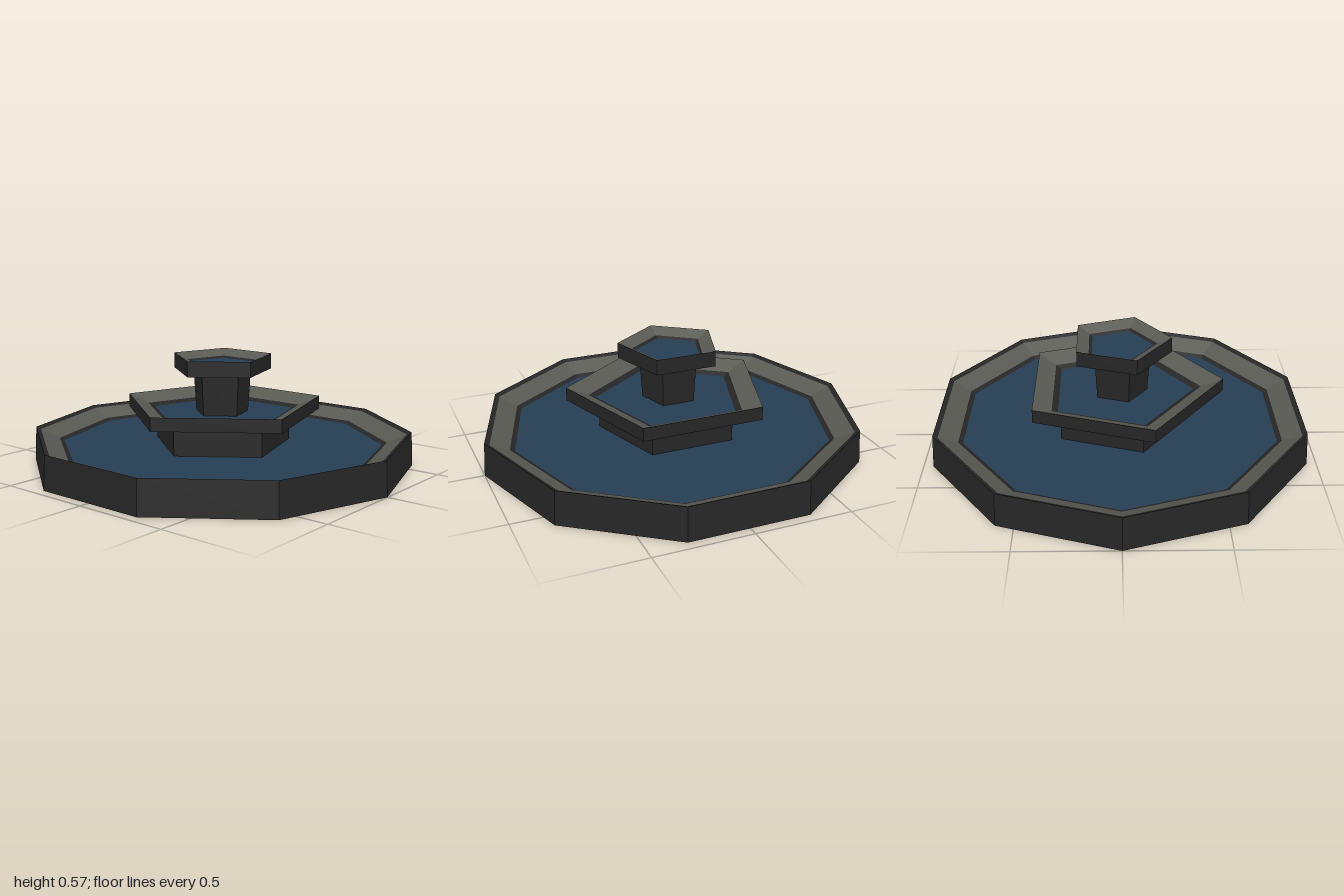
import * as THREE from 'three';

const material = (name, color) =>
  new THREE.MeshStandardMaterial({ name, color, side: THREE.DoubleSide, flatShading: true });

export function createModel() {
  const fountain = new THREE.Group();
  fountain.name = 'tieredFountain';

  const darkStone = material('dark stone', 0x262626);
  const paleStone = material('pale stone', 0x5a5a54);
  const water = material('water', 0x263d52);

  // Faceted band swept round the axis; profile is a list of [radius, height]
  function band(parent, name, mat, sides, profile) {
    const points = profile.map(([r, y]) => new THREE.Vector2(r, y));
    const start = sides === 10 ? Math.PI / 10 : 0;
    const geometry = new THREE.LatheGeometry(points, sides, start).toNonIndexed();
    geometry.computeVertexNormals();
    const mesh = new THREE.Mesh(geometry, mat);
    mesh.name = name;
    parent.add(mesh);
  }

  // Each tier: hollow wall, sloping rim in painted bands, and a water sheet
  const tiers = [
    {
      name: 'basin', sides: 10,
      wall: [[1, 0], [0.99, 0.175]],
      rim: [0.99, 0.965, 0.865, 0.84], top: 0.175, waterY: 0.105, hole: 0.373,
    },
    {
      name: 'middleBowl', sides: 5,
      wall: [[0.373, 0.105], [0.373, 0.26], [0.54, 0.26], [0.54, 0.33]],
      rim: [0.54, 0.54, 0.425, 0.387], top: 0.33, waterY: 0.272, hole: 0.144,
    },
    {
      name: 'topBowl', sides: 5,
      wall: [[0.144, 0.272], [0.158, 0.49], [0.268, 0.49], [0.268, 0.57]],
      rim: [0.268, 0.268, 0.194, 0.174], top: 0.57, waterY: 0.53, hole: 0,
    },
  ];

  for (const { name, sides, wall, rim, top, waterY, hole } of tiers) {
    const tier = new THREE.Group();
    tier.name = name;
    fountain.add(tier);

    // Point on the rim's slope at a given radius
    const slope = (r) => [r, THREE.MathUtils.mapLinear(r, rim[0], rim[3], top, waterY)];
    band(tier, name + 'Wall', darkStone, sides, wall);
    if (rim[0] > rim[1]) band(tier, name + 'RimEdge', darkStone, sides, [slope(rim[0]), slope(rim[1])]);
    band(tier, name + 'Rim', paleStone, sides, [slope(rim[1]), slope(rim[2])]);
    band(tier, name + 'Waterline', darkStone, sides, [slope(rim[2]), slope(rim[3])]);

    // Water sheet, left open where the next column rises through it
    const start = sides === 10 ? Math.PI / 10 : 0;
    const corners = (r, n, offset) => Array.from({ length: n }, (_, i) => {
      const a = offset + (i / n) * Math.PI * 2;
      return new THREE.Vector2(Math.sin(a) * r, -Math.cos(a) * r);
    });
    const shape = new THREE.Shape(corners(rim[3], sides, start));
    if (hole) shape.holes.push(new THREE.Path(corners(hole, 5, 0)));
    const sheet = new THREE.Mesh(new THREE.ShapeGeometry(shape).rotateX(-Math.PI / 2), water);
    sheet.position.y = waterY;
    sheet.name = name + 'Water';
    tier.add(sheet);
  }

  return fountain;
}
